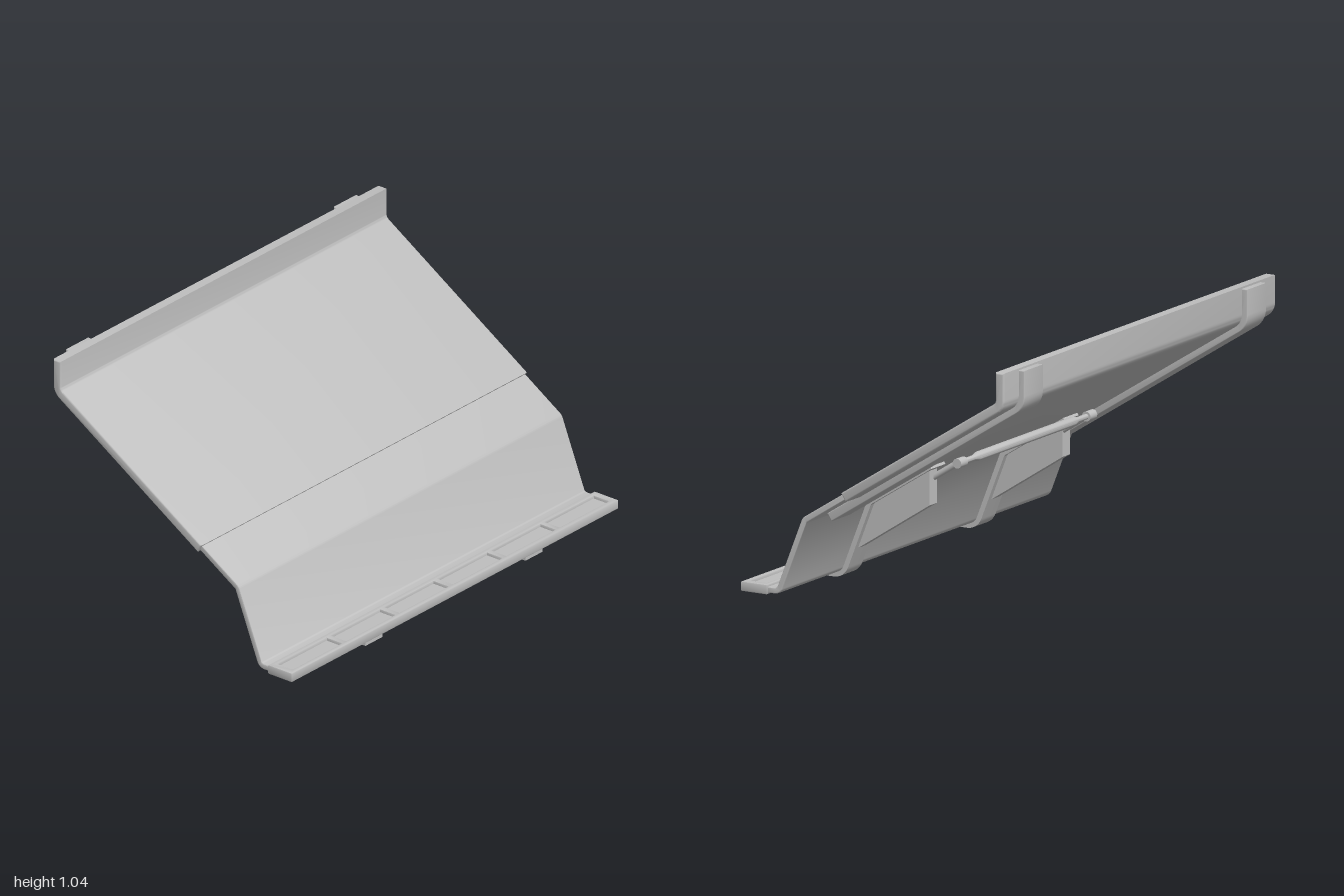
import * as THREE from 'three';
import { toCreasedNormals } from 'three/addons/utils/BufferGeometryUtils.js';

const V = (z, y) => new THREE.Vector2(z, y);

// Replace each inner corner of a path with a short curve
function rounded(points, r) {
  const out = [points[0]];
  for (let i = 1; i < points.length - 1; i++) {
    const p = points[i];
    const a = p.clone().add(points[i - 1].clone().sub(p).setLength(r));
    const b = p.clone().add(points[i + 1].clone().sub(p).setLength(r));
    out.push(...new THREE.QuadraticBezierCurve(a, p, b).getPoints(8));
  }
  out.push(points[points.length - 1]);
  return out;
}

// Shift a side-view path towards the underside by d
function offset(path, d) {
  const normal = (a, b) => { const t = b.clone().sub(a).normalize(); return V(-t.y, t.x); };
  return path.map((p, i) => {
    const n1 = normal(path[Math.max(i - 1, 0)], path[Math.max(i, 1)]);
    const n2 = normal(path[Math.min(i, path.length - 2)], path[Math.min(i + 1, path.length - 1)]);
    const m = n1.clone().add(n2).normalize();
    return p.clone().addScaledVector(m, d / m.dot(n1));
  });
}

// Extrude a side-view (z, y) outline across x, centred on x = 0
function acrossX(outline, width, bevel = 0) {
  const g = new THREE.ExtrudeGeometry(new THREE.Shape(outline), {
    depth: width - 2 * bevel, bevelEnabled: bevel > 0, bevelSize: bevel,
    bevelThickness: bevel, bevelOffset: -bevel, bevelSegments: 3,
  });
  g.translate(0, 0, -(width - 2 * bevel) / 2);
  g.rotateY(-Math.PI / 2);
  return toCreasedNormals(g, 0.6);
}

// Bent sheet lying between two depths under a path
function sheet(path, top, bottom, width, bevel) {
  return acrossX([...offset(path, top), ...offset(path, bottom).reverse()], width, bevel);
}

export function createModel() {
  const model = new THREE.Group();
  const grey = new THREE.MeshStandardMaterial({ color: 0xbfbfbf });
  grey.name = 'grey';

  const add = (name, geometry, x = 0, y = 0, z = 0) => {
    const mesh = new THREE.Mesh(geometry, grey);
    mesh.name = name;
    mesh.position.set(x, y, z);
    model.add(mesh);
    return mesh;
  };

  // Upper sloping panel with an upright flange at the back
  const upper = rounded([V(0.163, 0.467), V(-0.555, 0.921), V(-0.555, 1.045)], 0.015);
  add('upperPanel', sheet(upper, 0, 0.04, 2, 0.008));

  // Lower bent plate that tucks under the upper panel
  const lower = rounded([V(0.52, 0.045), V(0.465, 0.045), V(0.347, 0.343), V(0.14, 0.474)], 0.012);
  add('lowerPlate', sheet(lower, 0, 0.024, 1.98, 0.004));

  // Front lip: a frame with six recessed cells and a thin floor
  const lipShape = new THREE.Shape([V(-1, -0.625), V(1, -0.625), V(1, -0.505), V(-1, -0.505)]);
  for (let i = 0; i < 6; i++) {
    const x = (i - 2.5) * 0.327, w = 0.15;
    lipShape.holes.push(new THREE.Path([
      V(x - w, -0.603), V(x - w, -0.527), V(x + w, -0.527), V(x + w, -0.603)]));
  }
  const lip = new THREE.ExtrudeGeometry(lipShape, {
    depth: 0.03, bevelSize: 0.005, bevelThickness: 0.005, bevelOffset: -0.005, bevelSegments: 2,
  });
  lip.rotateX(-Math.PI / 2);
  add('lipFrame', toCreasedNormals(lip, 0.6), 0, 0.02, 0);
  add('lipFloor', new THREE.BoxGeometry(1.97, 0.016, 0.09), 0, 0.034, 0.565);

  const railPath = rounded([V(0.31, 0.374), V(-0.555, 0.921), V(-0.555, 1.037)], 0.015);
  const bracketPath = rounded(
    [V(0.62, 0.045), V(0.465, 0.045), V(0.347, 0.343), V(0.055, 0.528)], 0.02);
  const gusset = [V(0.4, 0.113), V(0.055, 0.335), V(0.055, 0.48), V(0.31, 0.32)];

  // Supports mirrored on both sides
  for (const s of [-1, 1]) {
    const side = s > 0 ? 'left' : 'right';
    add(side + 'Rail', sheet(railPath, 0.03, 0.066, 0.14, 0.004), s * 0.82);
    add(side + 'Bracket', sheet(bracketPath, 0.022, 0.045, 0.104, 0), s * 0.49);
    add(side + 'Gusset', acrossX(gusset, 0.055), s * 0.49);

    // Arm and eye that hold the cross rod
    const arm = new THREE.CylinderGeometry(0.013, 0.013, 0.15, 16);
    add(side + 'Arm', arm, s * 0.475, 0.478, 0.003).rotation.x = -1.007;
    const eye = new THREE.CylinderGeometry(0.02, 0.02, 0.05, 20);
    add(side + 'RodEye', eye, s * 0.475, 0.515, -0.062).rotation.z = Math.PI / 2;
  }

  // Cross rod, thicker in the middle with tapered shoulders
  const rod = new THREE.LatheGeometry([
    V(0, -0.48), V(0.011, -0.48), V(0.011, -0.38), V(0.019, -0.35),
    V(0.019, 0.35), V(0.011, 0.38), V(0.011, 0.48), V(0, 0.48)], 20);
  add('crossRod', toCreasedNormals(rod, 0.5), 0, 0.515, -0.062).rotation.z = Math.PI / 2;

  return model;
}
